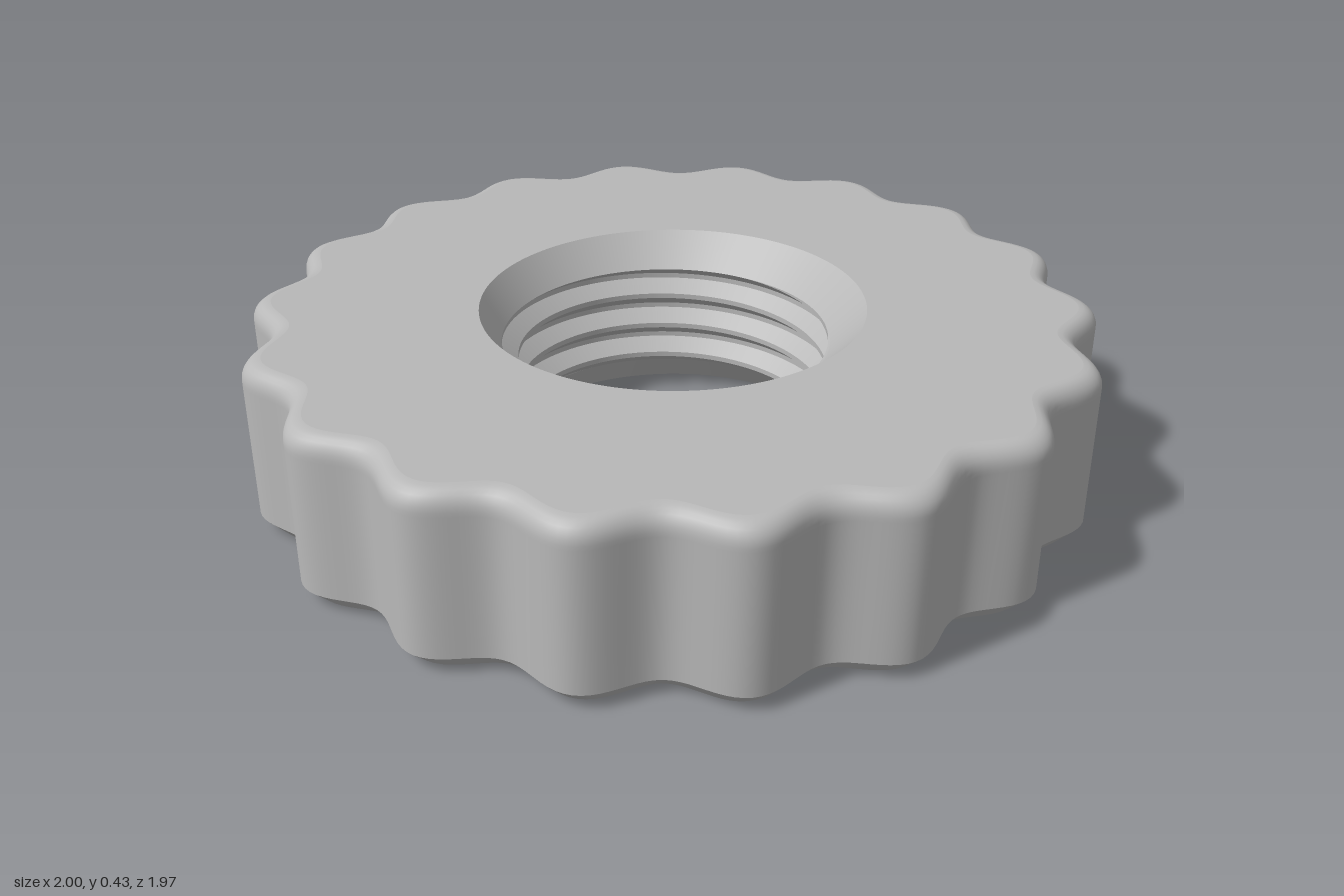
import * as THREE from 'three';

const SEG = 360, LOBES = 18, H = 0.425;
const BORE = 0.457, Y1 = 0.075, Y2 = 0.345;   // chamfer mouth radius and threaded span
const PITCH = 0.085, TAU = Math.PI * 2;

// Scalloped rim radius at angle t
const rim = (t) => 0.967 + 0.033 * Math.cos(LOBES * t);

// Thread profile: [phase, radius] corners over one pitch
const TOOTH = [[0, 0.37], [0.15, 0.37], [0.5, 0.408], [0.65, 0.408], [1, 0.37]];
function threadRadius(y, t) {
  let p = y / PITCH - t / TAU;
  p -= Math.floor(p);
  const i = Math.max(1, TOOTH.findIndex((c) => c[0] >= p));
  const [a, b] = [TOOTH[i - 1], TOOTH[i]];
  return a[1] + (b[1] - a[1]) * (p - a[0]) / (b[0] - a[0]);
}

// Joins rings around the y axis; each ring maps an angle to [radius, height]
function rings(rows, seg = SEG) {
  const pos = [], index = [];
  rows.forEach((row) => {
    for (let j = 0; j <= seg; j++) {
      const t = (j / seg) * TAU, [r, y] = row(t);
      pos.push(r * Math.cos(t), y, -r * Math.sin(t));
    }
  });
  const n = seg + 1;
  for (let i = 0; i < rows.length - 1; i++) {
    for (let j = 0; j < seg; j++) {
      const a = i * n + j, b = a + 1, c = a + n, d = c + 1;
      index.push(a, b, d, a, d, c);
    }
  }
  const g = new THREE.BufferGeometry();
  g.setAttribute('position', new THREE.Float32BufferAttribute(pos, 3));
  g.setIndex(index);
  g.computeVertexNormals();
  return g;
}

export function createModel() {
  const group = new THREE.Group();
  group.name = 'knurledThumbNut';
  const metal = new THREE.MeshStandardMaterial({ color: 0xb8b8b8 });
  metal.name = 'plain grey';
  const add = (name, geometry) => {
    const mesh = new THREE.Mesh(geometry, metal);
    mesh.name = name;
    group.add(mesh);
  };

  // Outer rim: bottom bevel, scalloped wall and rounded top edge
  const bevel = 0.04, round = 0.045;
  add('bottomBevel', rings([(t) => [rim(t) - bevel, 0], (t) => [rim(t), bevel]]));
  const wall = [(t) => [rim(t), bevel], (t) => [rim(t), H - round - 0.01]];
  for (let k = 0; k <= 6; k++) {
    const a = (k / 6) * Math.PI / 2;
    wall.push((t) => [rim(t) - round * (1 - Math.cos(a)), H - round * (1 - Math.sin(a))]);
  }
  add('scallopedRim', rings(wall));

  // Flat faces
  add('topFace', rings([(t) => [rim(t) - round, H], () => [BORE, H]]));
  add('bottomFace', rings([() => [BORE, 0], (t) => [rim(t) - bevel, 0]]));

  // Countersinks running into the thread
  add('topCountersink', rings([() => [BORE, H], (t) => [threadRadius(Y2, t), Y2]]));
  add('bottomCountersink', rings([(t) => [threadRadius(Y1, t), Y1], () => [BORE, 0]]));

  // Helical thread: rows follow the tooth corners, trimmed to the threaded span
  const thread = [];
  for (let turn = Math.ceil(Y2 / PITCH); turn >= -1; turn--) {
    for (let c = 3; c >= 0; c--) {
      thread.push((t) => {
        const y = THREE.MathUtils.clamp(PITCH * (turn + TOOTH[c][0] + t / TAU), Y1, Y2);
        return [threadRadius(y, t), y];
      });
    }
  }
  const threadGeometry = rings(thread, SEG).toNonIndexed();
  threadGeometry.computeVertexNormals();
  add('thread', threadGeometry);

  return group;
}
